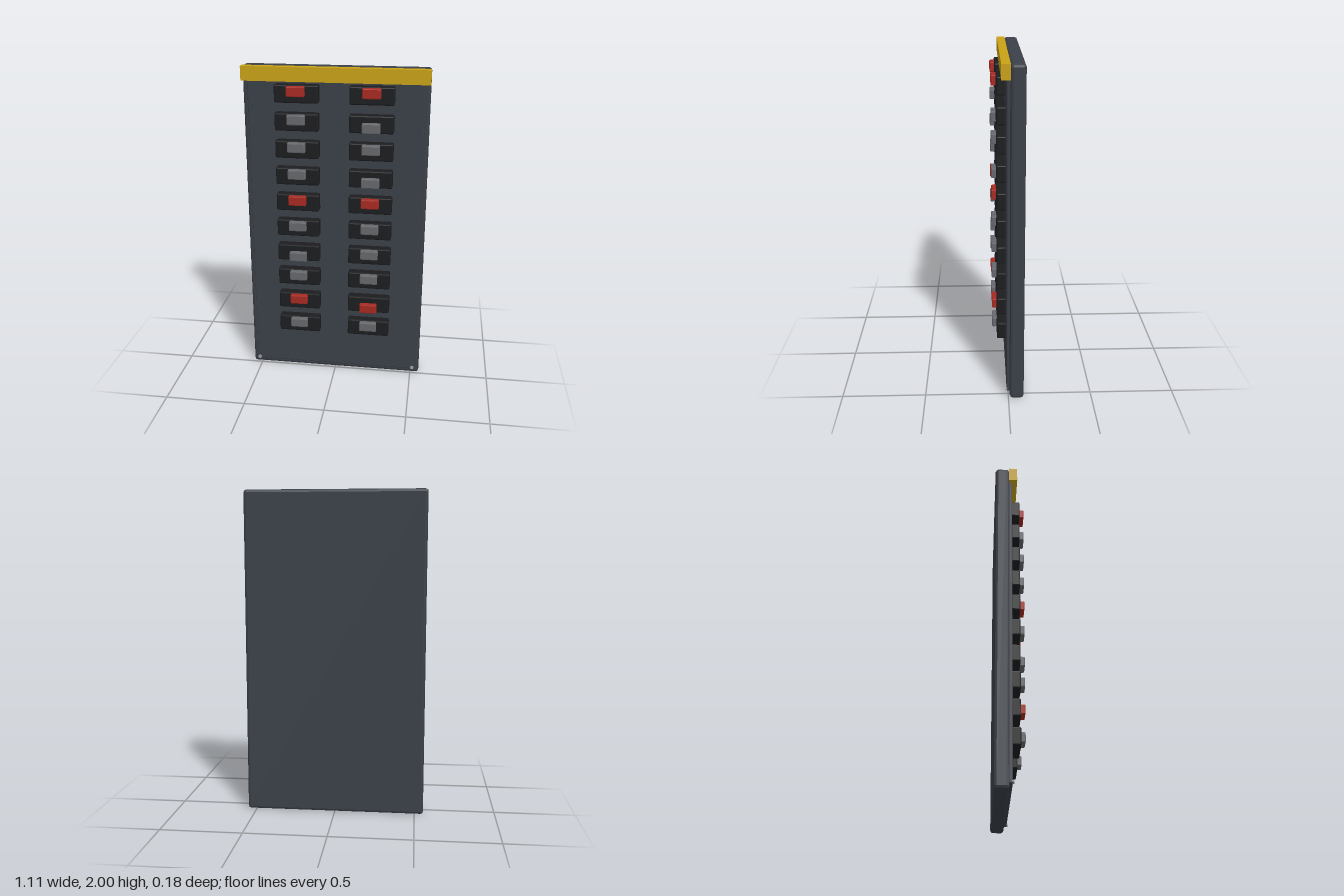
import * as THREE from 'three';
import { RoundedBoxGeometry } from 'three/addons/geometries/RoundedBoxGeometry.js';

const material = (color) => new THREE.MeshStandardMaterial({ color, flatShading: true });

// Box with a single flat chamfer on every edge
function chamferBox(w, h, d, chamfer) {
  const geometry = new RoundedBoxGeometry(w, h, d, 1, chamfer);
  geometry.computeVertexNormals();
  return geometry;
}

export function createModel() {
  const model = new THREE.Group();
  model.name = 'breakerPanel';

  const steel = material(0x3b4048);
  const black = material(0x1c1d1f);
  const grey = material(0x66686c);
  const red = material(0xa82a22);
  const yellow = material(0xc9a216);
  const silver = material(0x9a9ca0);

  function add(name, geometry, mat, x, y, z, parent = model) {
    const mesh = new THREE.Mesh(geometry, mat);
    mesh.name = name;
    mesh.position.set(x, y, z);
    parent.add(mesh);
    return mesh;
  }

  // Enclosure and the thin plate on its front
  add('enclosure', chamferBox(1.11, 2, 0.084, 0.017), steel, 0, 1, -0.05);
  add('facePlate', chamferBox(1.05, 1.93, 0.03, 0.006), steel, 0, 1, -0.005);

  // Warning strip across the top
  add('warningStrip', new THREE.BoxGeometry(1.11, 0.085, 0.05), yellow, 0, 1.9575, 0.015);

  // Corner screws
  const screw = new THREE.CylinderGeometry(0.012, 0.012, 0.02, 10);
  screw.rotateX(Math.PI / 2);
  for (const x of [-0.513, 0.513]) {
    for (const y of [0.047, 1.953]) add('screw', screw, silver, x, y, 0.007);
  }

  // Two columns of breakers; the listed rows are switched down
  const body = chamferBox(0.262, 0.106, 0.065, 0.008);
  const toggle = chamferBox(0.108, 0.06, 0.045, 0.006);
  const columns = [
    { x: -0.223, down: [6] },
    { x: 0.221, down: [1, 3, 8] },
  ];
  for (const { x, down } of columns) {
    for (let row = 0; row < 10; row++) {
      const breaker = new THREE.Group();
      breaker.name = 'breaker';
      breaker.position.set(x, 1.848 - row * 0.1667, 0);
      model.add(breaker);
      add('breakerBody', body, black, 0, 0, 0.031, breaker);
      const offset = down.includes(row) ? -0.018 : 0.018;
      add('breakerToggle', toggle, row % 4 === 0 ? red : grey, 0, offset, 0.0695, breaker);
    }
  }
  return model;
}
